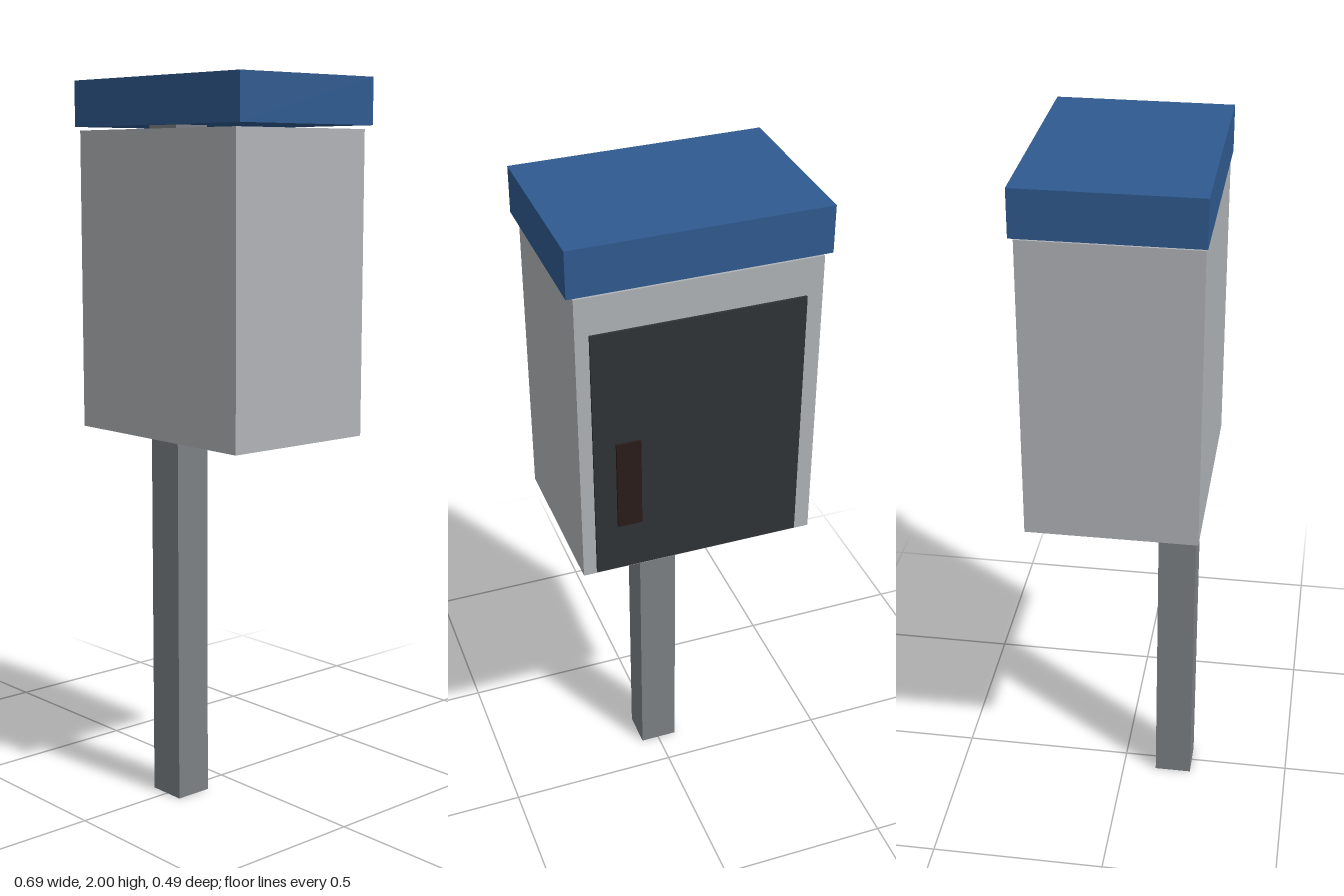
import * as THREE from 'three';

// Box given by its min/max extents on each axis
function box(name, color, [x0, x1], [y0, y1], [z0, z1]) {
  const geometry = new THREE.BoxGeometry(x1 - x0, y1 - y0, z1 - z0);
  const mesh = new THREE.Mesh(geometry, new THREE.MeshStandardMaterial({ color }));
  mesh.position.set((x0 + x1) / 2, (y0 + y1) / 2, (z0 + z1) / 2);
  mesh.name = name;
  return mesh;
}

export function createModel() {
  const model = new THREE.Group();
  model.name = 'postMountedCabinet';
  model.add(
    // square post, running up through the cabinet to the roof
    box('post', 0x7c8084, [-0.057, 0.054], [0, 1.88], [0.1, 0.207]),
    // cabinet and its overhanging roof
    box('cabinet', 0xb0b3b6, [-0.326, 0.323], [1.027, 1.863], [-0.229, 0.238]),
    box('roof', 0x2f5a8f, [-0.343, 0.343], [1.873, 2], [-0.239, 0.243]),
    // door panel and handle on the back
    box('door', 0x2e3336, [-0.282, 0.287], [1.034, 1.76], [-0.236, -0.225]),
    box('handle', 0x2a1c18, [0.162, 0.228], [1.177, 1.434], [-0.244, -0.23])
  );
  return model;
}
